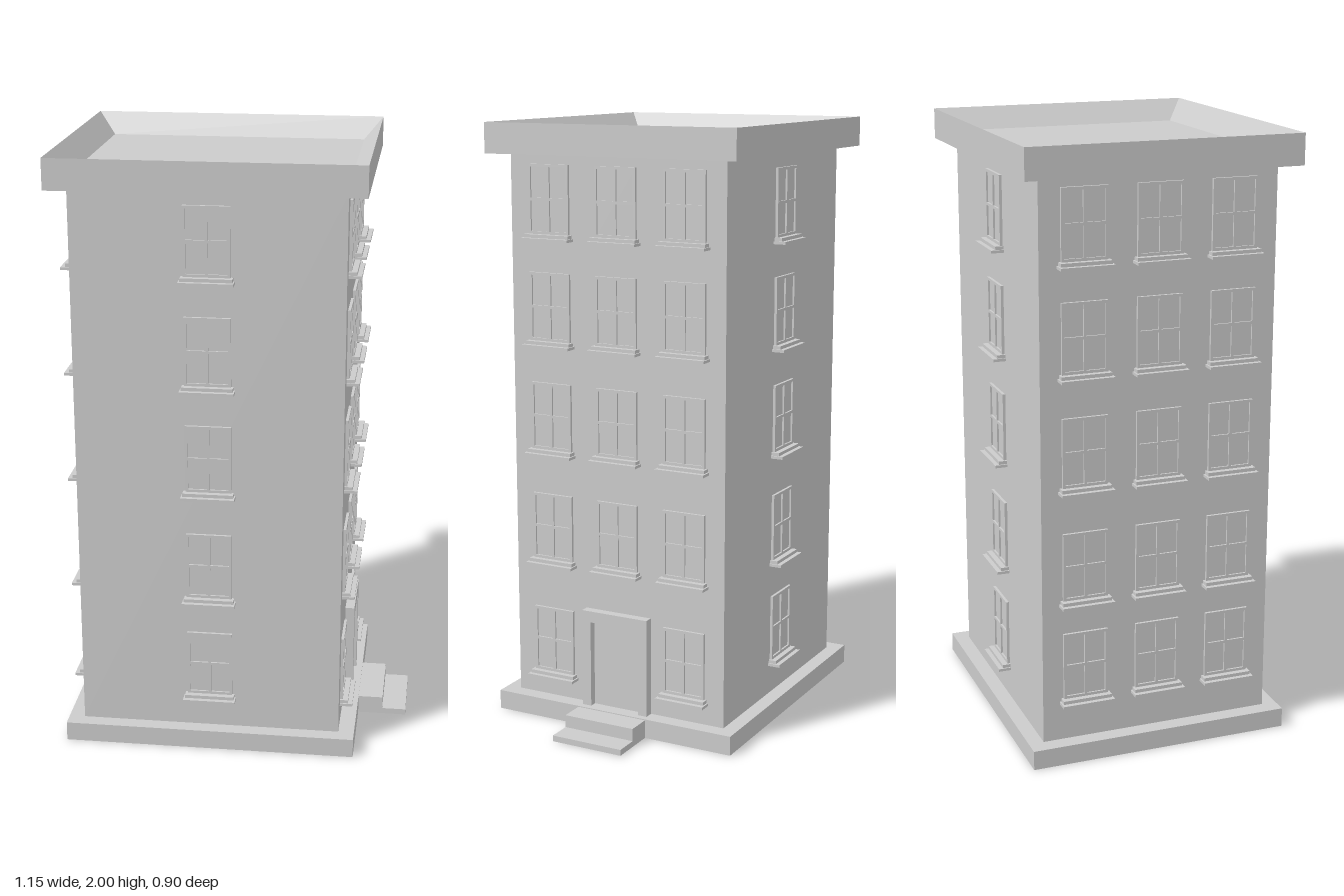
import * as THREE from 'three';

const material = new THREE.MeshStandardMaterial({ color: 0xcccccc, flatShading: true, side: THREE.DoubleSide });
const CX = -0.08; // the tower sits off centre to leave room for the steps
const BODY = [0.435, 0.39], PLINTH = [0.488, 0.44], CORNICE = [0.497, 0.45]; // half width, half depth

function mesh(name, geometry, x = 0, y = 0, z = 0) {
  const m = new THREE.Mesh(geometry, material);
  m.name = name;
  m.position.set(x, y, z);
  return m;
}

// Skin a stack of rectangles, each given as [[halfWidth, halfDepth], y]
function rectLoft(rings) {
  const corners = [[-1, 1], [1, 1], [1, -1], [-1, -1]];
  const point = ([[w, d], y], i) => [corners[i % 4][0] * w, y, corners[i % 4][1] * d];
  const positions = [];
  for (let r = 0; r < rings.length - 1; r++) {
    for (let i = 0; i < 4; i++) {
      const a = point(rings[r], i), b = point(rings[r], i + 1);
      const c = point(rings[r + 1], i + 1), d = point(rings[r + 1], i);
      positions.push(...a, ...b, ...c, ...a, ...c, ...d);
    }
  }
  const g = new THREE.BufferGeometry();
  g.setAttribute('position', new THREE.Float32BufferAttribute(positions, 3));
  g.computeVertexNormals();
  return g;
}

function rect(x0, y0, x1, y1, Type = THREE.Shape) {
  return new Type([[x0, y0], [x1, y0], [x1, y1], [x0, y1]].map(p => new THREE.Vector2(...p)));
}

const extrude = (shape, depth) => new THREE.ExtrudeGeometry(shape, { depth, bevelEnabled: false });

// Box whose back face lies on z = 0 and whose bottom lies on y = 0
const wallBox = (w, h, d) => new THREE.BoxGeometry(w, h, d).translate(0, h / 2, d / 2);

// Shared window parts, facing +z, standing on the underside of the sill
const WIN_W = 0.15, WIN_H = 0.225, BAR = 0.009;
const frameShape = rect(-WIN_W / 2, 0, WIN_W / 2, WIN_H);
for (const side of [-1, 1]) {
  for (const [y0, y1] of [[BAR, WIN_H / 2 - BAR / 2], [WIN_H / 2 + BAR / 2, WIN_H - BAR]]) {
    const inner = side * BAR / 2, outer = side * (WIN_W / 2 - BAR);
    frameShape.holes.push(rect(Math.min(inner, outer), y0, Math.max(inner, outer), y1, THREE.Path));
  }
}
const frameGeometry = extrude(frameShape, 0.009);
const glassGeometry = new THREE.PlaneGeometry(WIN_W - BAR, WIN_H - BAR).translate(0, WIN_H / 2, 0.003);
const sillBlockGeometry = wallBox(0.165, 0.012, 0.027);
const sillPlateGeometry = wallBox(0.175, 0.009, 0.042);

function createWindow() {
  const g = new THREE.Group();
  g.name = 'window';
  g.add(
    mesh('windowFrame', frameGeometry, 0, 0.02),
    mesh('windowGlass', glassGeometry, 0, 0.02),
    mesh('windowSill', sillBlockGeometry, 0, 0.008),
    mesh('windowSillPlate', sillPlateGeometry),
  );
  return g;
}

// One wall's windows: columns across the wall, rows upward
function createWall(name, angle, distance, columns, rows, skip = () => false) {
  const wall = new THREE.Group();
  wall.name = name;
  rows.forEach((y, r) => columns.forEach((x, c) => {
    if (skip(r, c)) return;
    const w = createWindow();
    w.position.set(x, y, distance);
    wall.add(w);
  }));
  wall.rotation.y = angle;
  wall.position.x = CX;
  return wall;
}

function createEntrance() {
  const g = new THREE.Group();
  g.name = 'entrance';
  // Door surround, open at the bottom
  const surround = new THREE.Shape([
    [-0.122, 0], [-0.09, 0], [-0.09, 0.295], [0.09, 0.295],
    [0.09, 0], [0.122, 0], [0.122, 0.333], [-0.122, 0.333],
  ].map(p => new THREE.Vector2(...p)));
  g.add(
    mesh('doorSurround', extrude(surround, 0.033), 0, 0.065, 0.353),
    mesh('door', wallBox(0.18, 0.295, 0.006), 0, 0.065, 0.355),
    mesh('upperStep', wallBox(0.255, 0.062, 0.084), 0, 0, 0.408),
    mesh('lowerStep', wallBox(0.255, 0.02, 0.081), 0, 0, 0.492),
  );
  g.rotation.y = Math.PI / 2;
  return g;
}

export function createModel() {
  const model = new THREE.Group();
  model.name = 'apartmentBuilding';

  // Hollow shell, open underneath
  model.add(
    mesh('plinth', rectLoft([[PLINTH, 0], [PLINTH, 0.065], [BODY, 0.065]]), CX),
    mesh('walls', rectLoft([[BODY, 0.065], [BODY, 1.9]]), CX),
    mesh('parapet', rectLoft([[BODY, 1.9], [CORNICE, 1.9], [CORNICE, 2], [BODY, 1.93]]), CX),
    mesh('roof', new THREE.PlaneGeometry(2 * BODY[0], 2 * BODY[1]).rotateX(-Math.PI / 2), CX, 1.93),
  );

  // Windows: single column front and back, three columns on the sides
  const narrowRows = [0.165, 0.52, 0.895, 1.255, 1.61];
  const upperRows = [0.53, 0.908, 1.273, 1.623];
  const sideColumns = [-0.246, 0, 0.246];
  model.add(
    createWall('frontWindows', 0, BODY[1], [0], narrowRows),
    createWall('backWindows', Math.PI, BODY[1], [0], narrowRows),
    createWall('leftWindows', Math.PI / 2, BODY[0], sideColumns, [0.132, ...upperRows],
      (r, c) => r === 0 && c === 1), // the door takes this place
    createWall('rightWindows', -Math.PI / 2, BODY[0], sideColumns, [0.19, ...upperRows]),
    createEntrance(),
  );
  return model;
}
